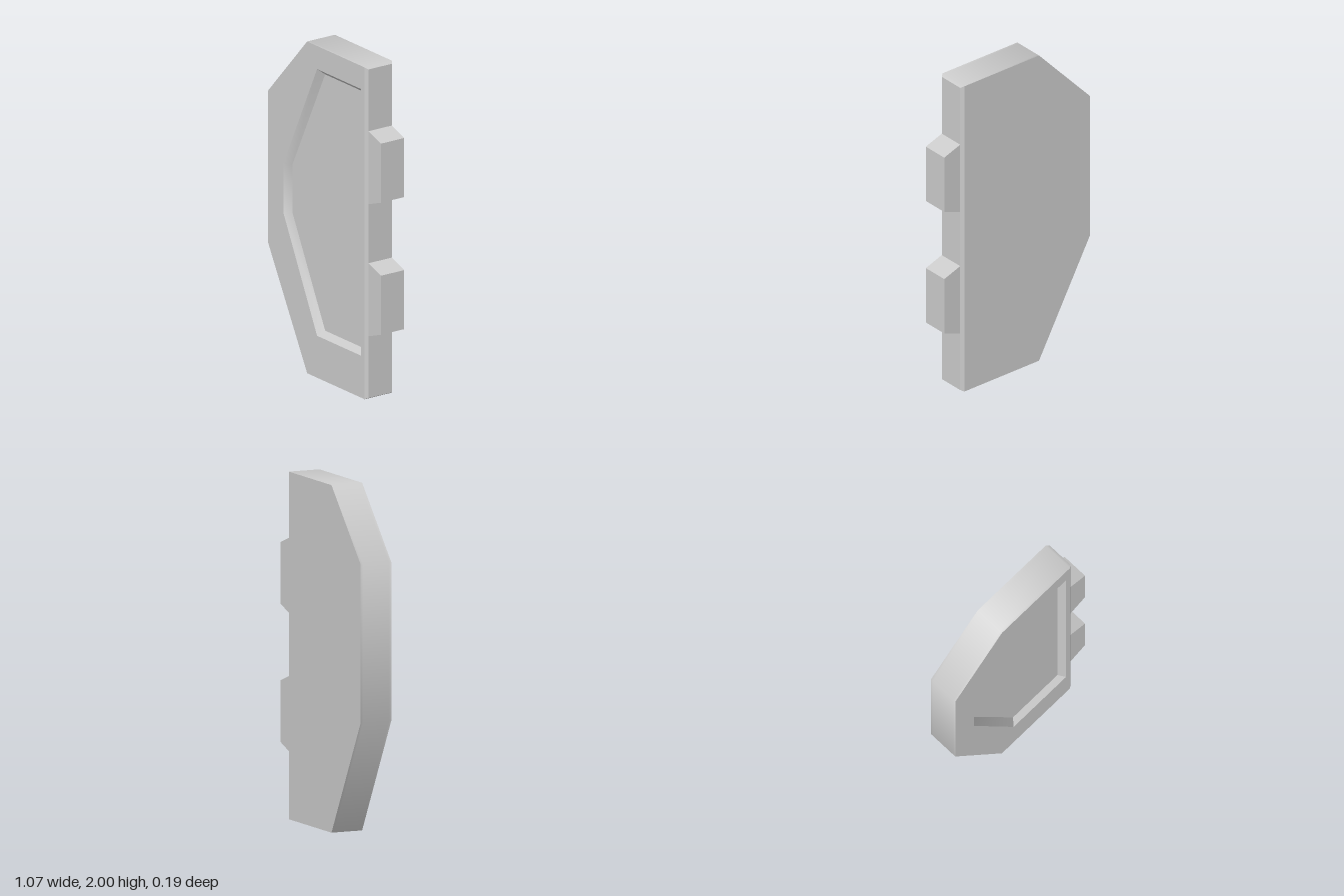
import * as THREE from 'three';
import { mergeGeometries, toCreasedNormals } from 'three/addons/utils/BufferGeometryUtils.js';

const FACE = 0.097, EDGE = 0.082, FLOOR = 0.062;

const shapeOf = (ring) => new THREE.Shape(ring.map(([x, y]) => new THREE.Vector2(x, y)));

// Flat cap filling a ring and facing +z, with an optional hole.
function cap(ring, z, hole) {
  const shape = shapeOf(ring);
  if (hole) shape.holes.push(shapeOf(hole));
  const g = new THREE.ShapeGeometry(shape).toNonIndexed();
  g.deleteAttribute('uv');
  return g.translate(0, 0, z);
}

// Band of quads from ring a to ring b. Counter-clockwise rings running
// from back to front face outwards; clockwise rings face inwards.
function band(a, za, b, zb) {
  const pos = [];
  const tri = (...pts) => {
    const [p, q, r] = pts.map((v) => new THREE.Vector3(...v));
    if (q.sub(p).cross(r.sub(p)).length() > 1e-9) pos.push(...pts.flat());
  };
  a.forEach((_, i) => {
    const j = (i + 1) % a.length;
    const a0 = [...a[i], za], a1 = [...a[j], za], b0 = [...b[i], zb], b1 = [...b[j], zb];
    tri(a0, a1, b1);
    tri(a0, b1, b0);
  });
  const g = new THREE.BufferGeometry();
  g.setAttribute('position', new THREE.Float32BufferAttribute(pos, 3));
  return g;
}

export function createModel() {
  const group = new THREE.Group();
  const material = new THREE.MeshStandardMaterial({ color: 0xcccccc });
  const add = (name, geometry) => {
    const mesh = new THREE.Mesh(geometry, material);
    mesh.name = name;
    group.add(mesh);
    return mesh;
  };

  // Outlines, counter-clockwise seen from the front
  const left = [[-0.155, 2], [-0.533, 1.595], [-0.533, 0.686], [-0.155, 0]];
  const faceRing = [...left, [0.397, 0], [0.397, 2]];
  // Rings for the sides: the right edge is chamfered at front and back
  const outer = [...left, [0.397, 0], [0.397, 0], [0.397, 2], [0.397, 2]];
  const middle = [...left, [0.397, 0], [0.415, 0.01], [0.415, 1.99], [0.397, 2]];

  // Recess rim and floor
  const rim = [[-0.06, 1.86], [-0.383, 1.2], [-0.383, 0.902], [-0.06, 0.253], [0.364, 0.253], [0.364, 1.86]];
  const floor = [[-0.03, 1.83], [-0.345, 1.195], [-0.345, 0.91], [-0.03, 0.285], [0.33, 0.285], [0.33, 1.83]];

  // Panel: front with opening, plain back, and sides softened at the slanted corners
  const backRing = faceRing.map(([x, y]) => [-x, y]).reverse();
  const sides = mergeGeometries([
    band(outer, -FACE, middle, -EDGE),
    band(middle, -EDGE, middle, EDGE),
    band(middle, EDGE, outer, FACE),
  ]);
  add('panelBody', mergeGeometries([
    cap(faceRing, FACE, rim),
    cap(backRing, FACE).rotateY(Math.PI),
    toCreasedNormals(sides, 0.85),
  ]));

  // Sunken panel with sloped walls facing inwards
  const walls = band(floor.toReversed(), FLOOR, rim.toReversed(), FACE);
  add('recess', mergeGeometries([cap(floor, FLOOR), toCreasedNormals(walls, 0.6)]));

  // Two tapered tabs on the straight edge
  const tab = shapeOf([[0.4, -0.22], [0.415, -0.22], [0.533, -0.178], [0.533, 0.178], [0.415, 0.22], [0.4, 0.22]]);
  const tabGeometry = new THREE.ExtrudeGeometry(tab, { depth: 2 * EDGE, bevelEnabled: false }).translate(0, 0, -EDGE);
  [['lowerTab', 0.602], ['upperTab', 1.398]].forEach(([name, y]) => {
    add(name, tabGeometry).position.y = y;
  });

  return group;
}
